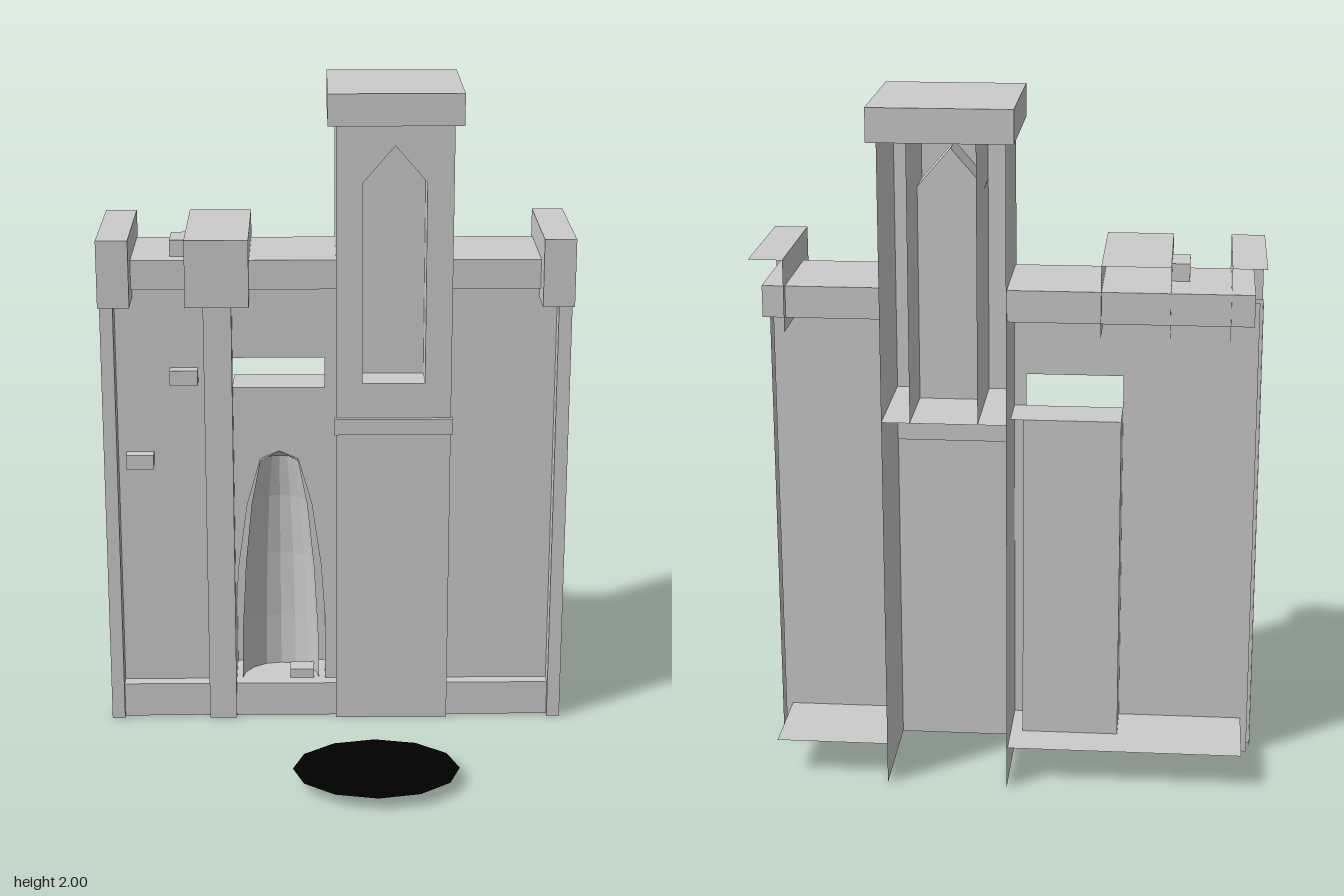
import * as THREE from 'three';

const stone = new THREE.MeshStandardMaterial({ color: 0xcccccc, side: THREE.DoubleSide, flatShading: true });
const black = new THREE.MeshStandardMaterial({ color: 0x000000, side: THREE.DoubleSide });
const SIDES = ['right', 'left', 'top', 'bottom', 'front', 'back']; // order of the box faces (right is +x)

export function createModel() {
  const model = new THREE.Group();

  function add(name, geometry, material = stone) {
    const mesh = new THREE.Mesh(geometry, material);
    mesh.name = name;
    model.add(mesh);
    return mesh;
  }

  // Box given by its limits; only the listed faces are kept
  function shell(name, [x0, x1], [y0, y1], [z0, z1], faces = SIDES) {
    const geo = new THREE.BoxGeometry(x1 - x0, y1 - y0, z1 - z0);
    const all = Array.from(geo.index.array);
    geo.setIndex(faces.flatMap((f) => {
      const i = SIDES.indexOf(f) * 6;
      return all.slice(i, i + 6);
    }));
    geo.clearGroups();
    geo.translate((x0 + x1) / 2, (y0 + y1) / 2, (z0 + z1) / 2);
    return add(name, geo);
  }

  const outline = (pts) => pts.map(([x, y]) => new THREE.Vector2(x, y));
  const rect = (x0, x1, y0, y1) => outline([[x0, y0], [x1, y0], [x1, y1], [x0, y1]]);

  // Flat panel facing the front, with optional holes
  function panel(name, pts, z, holes = []) {
    const shape = new THREE.Shape(pts);
    shape.holes = holes.map((h) => new THREE.Path(h));
    const mesh = add(name, new THREE.ShapeGeometry(shape));
    mesh.position.z = z;
    return mesh;
  }

  const wallZ = -0.19, towerZ = -0.13, backZ = -0.48;

  // Curtain walls, the wider one open for the doorway and the slot above it
  panel('leftWall', rect(0.35, 0.7, 0, 1.4), wallZ);
  panel('rightWall', rect(-0.7, 0, 0, 1.4), wallZ, [rect(-0.315, -0.035, 0.11, 1.175)]);

  // Plinths and parapets along both walls
  for (const [side, x] of [['left', [0.35, 0.68]], ['right', [-0.68, 0]]]) {
    shell(side + 'Plinth', x, [0, 0.11], [-0.45, -0.15], ['top', 'front']);
    shell(side + 'Parapet', x, [1.4, 1.49], [-0.45, -0.15], ['top', 'bottom', 'front', 'back']);
  }

  // Buttresses with overhanging heads
  const buttresses = [
    ['leftCorner', [0.67, 0.71], [0.615, 0.71], ['front', 'top', 'left']],
    ['rightCorner', [-0.71, -0.67], [-0.71, -0.615], ['front', 'top', 'right']],
    ['middle', [-0.4, -0.315], [-0.45, -0.26], ['front', 'top', 'left', 'right']],
  ];
  for (const [name, shaftX, headX, headFaces] of buttresses) {
    shell(name + 'Buttress', shaftX, [0, 1.395], [wallZ, towerZ], ['front', 'left', 'right']);
    shell(name + 'Head', headX, [1.365, 1.57], [backZ, -0.068], headFaces);
  }

  // Tower: front with pointed niche, side walls, inner floor, band and cap
  const pointed = outline([[0.08, 1.11], [0.27, 1.11], [0.27, 1.73], [0.175, 1.84], [0.08, 1.73]]);
  panel('towerFront', rect(0, 0.35, 0, 1.91), towerZ, [pointed]);
  shell('towerSides', [0, 0.35], [0, 1.91], [backZ, towerZ], ['left', 'right']);
  shell('towerFloor', [0, 0.35], [1.1, 1.11], [backZ, towerZ], ['top']);
  shell('towerBand', [-0.005, 0.355], [0.95, 1.0], [-0.14, -0.115]);
  shell('towerCap', [-0.025, 0.375], [1.905, 2], [-0.51, -0.083]);

  // Niche lining
  panel('nicheBack', pointed, -0.24);
  shell('nicheSides', [0.08, 0.27], [1.11, 1.905], [backZ, towerZ], ['left', 'right']);
  for (const s of [-1, 1]) {
    const slope = add('nicheSlope', new THREE.BoxGeometry(Math.hypot(0.095, 0.11), 0.002, 0.11));
    slope.position.set(0.175 + s * 0.0475, 1.785, -0.185);
    slope.rotation.z = -s * Math.atan2(0.11, 0.095);
  }

  // Doorway recess behind the wall
  shell('doorRecess', [-0.315, -0.035], [0.11, 1.08], [-0.33, wallZ], ['back', 'left', 'right']);
  shell('doorRecessTop', [-0.315, 0], [1.07, 1.08], [-0.33, wallZ], ['top']);

  // Spandrels that leave the arched opening
  const cx = -0.175;
  for (const s of [-1, 1]) {
    const pts = [[0.14, 0.33], [0.128, 0.5], [0.1, 0.7], [0.058, 0.85], [0, 0.875], [0, 1.08], [0.14, 1.08]];
    panel('doorSpandrel', outline(pts.map(([x, y]) => [cx + s * x, y])), wallZ);
  }

  // Hollow half-dome alcove
  const profile = outline([[0.122, 0.11], [0.119, 0.28], [0.107, 0.5], [0.087, 0.7], [0.06, 0.84], [0, 0.875]]);
  const alcove = add('doorAlcove', new THREE.LatheGeometry(profile, 8, Math.PI / 2, Math.PI));
  alcove.position.set(cx, 0, wallZ);
  shell('doorStep', [-0.145, -0.07], [0.11, 0.14], [-0.25, wallZ]);

  // Loose bricks on the wall and on the parapet
  shell('upperBrick', [-0.505, -0.42], [1.1, 1.145], [wallZ, -0.15]);
  shell('lowerBrick', [-0.645, -0.56], [0.83, 0.875], [wallZ, -0.15]);
  shell('parapetBlock', [-0.5, -0.45], [1.49, 1.54], [-0.31, -0.2]);

  // Dark oval on the ground before the tower
  const oval = new THREE.CircleGeometry(1, 12);
  oval.scale(0.25, 0.195, 1);
  oval.rotateX(-Math.PI / 2);
  add('groundOval', oval, black).position.set(0.115, 0.04, 0.31);

  return model;
}
